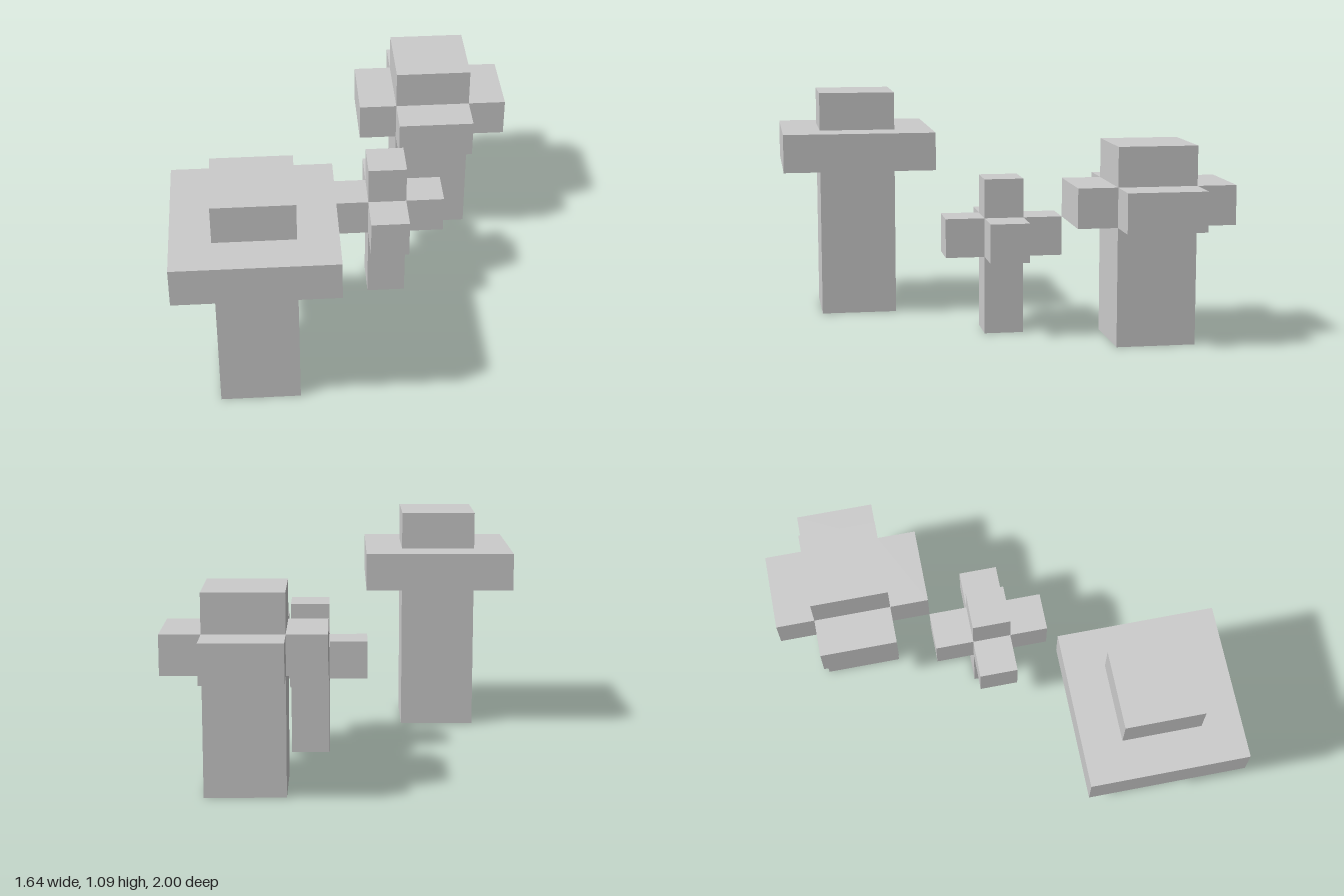
import * as THREE from 'three';

const U = 1 / 11; // block unit: every size below is a whole number of these
const material = new THREE.MeshStandardMaterial({ color: 0xcccccc, flatShading: true });

// Box given by its size and the centre of its base, in block units
function block(name, [w, h, d], [x, y, z]) {
  const mesh = new THREE.Mesh(new THREE.BoxGeometry(w * U, h * U, d * U), material);
  mesh.position.set(x * U, (y + h / 2) * U, z * U);
  mesh.name = name;
  return mesh;
}

function place(group, name, x, z) {
  group.name = name;
  group.position.set(x * U, 0, z * U);
  return group;
}

// Trunk with a broad square canopy and a smaller crown on top
function canopyTree() {
  const tree = new THREE.Group();
  tree.add(
    block('trunk', [4, 8, 4], [0, 0, 0]),
    block('canopy', [8, 2, 8], [0, 8, 0]),
    block('crown', [4, 2, 4], [0, 10, 0])
  );
  return tree;
}

// Square trunk with one branch block on each of its four sides
function branchTree(width, height, branchY) {
  const tree = new THREE.Group();
  tree.add(block('trunk', [width, height, width], [0, 0, 0]));
  const reach = width / 2 + 1;
  for (const side of [1, -1]) {
    tree.add(
      block(side > 0 ? 'leftBranch' : 'rightBranch', [2, 2, width], [side * reach, branchY, 0]),
      block(side > 0 ? 'frontBranch' : 'backBranch', [width, 2, 2], [0, branchY, side * reach])
    );
  }
  return tree;
}

export function createModel() {
  const model = new THREE.Group();
  model.name = 'blockTrees';
  model.add(
    place(canopyTree(), 'canopyTree', -5, 7),
    place(branchTree(2, 8, 4), 'smallBranchTree', 2, 0),
    place(branchTree(4, 10, 6), 'largeBranchTree', 5, -7)
  );
  return model;
}
